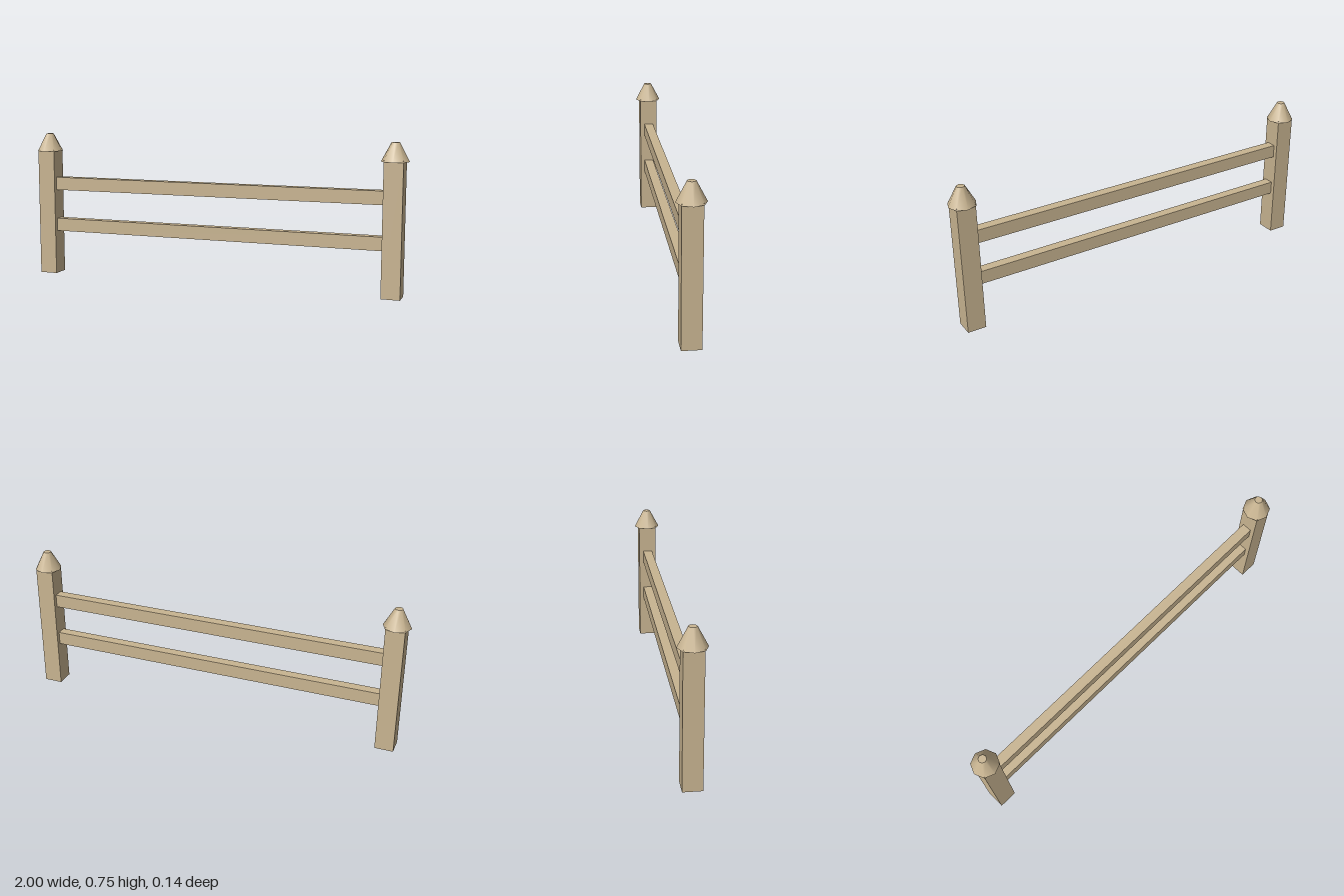
import * as THREE from 'three';

export function createModel() {
  const group = new THREE.Group();
  const wood = new THREE.MeshStandardMaterial({ color: 0xc8b491 });
  wood.name = 'pale wood';

  const add = (name, geometry, x, y) => {
    const mesh = new THREE.Mesh(geometry, wood);
    mesh.name = name;
    mesh.position.set(x, y, 0);
    group.add(mesh);
  };

  // Square posts with tapered eight-sided caps
  const postHeight = 0.67, capBase = 0.662, capHeight = 0.093, postX = 0.931;
  for (const [side, s] of [['left', 1], ['right', -1]]) {
    add(side + 'Post', new THREE.BoxGeometry(0.094, postHeight, 0.094), s * postX, postHeight / 2);
    add(side + 'PostCap', new THREE.CylinderGeometry(0.02, 0.069, capHeight, 8), s * postX, capBase + capHeight / 2);
  }

  // Horizontal rails between the posts
  add('lowerRail', new THREE.BoxGeometry(1.8, 0.068, 0.05), 0, 0.265);
  add('upperRail', new THREE.BoxGeometry(1.8, 0.068, 0.05), 0, 0.488);

  return group;
}
